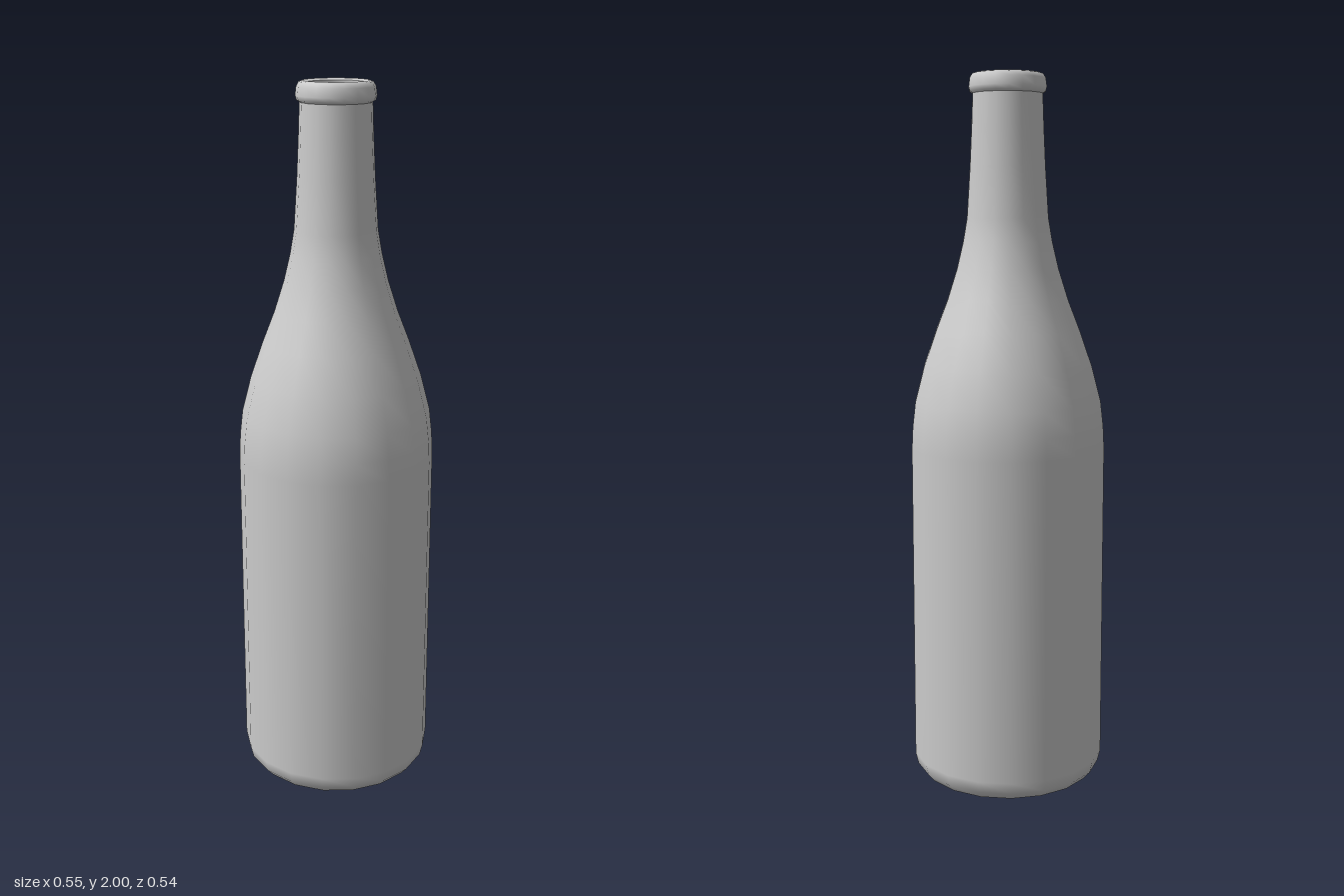
import * as THREE from 'three';

const SIDES = 18;

// Revolve a [radius, height] profile, with a corner of the polygon on +x
function revolve(name, profile, material) {
  const points = profile.map(([r, y]) => new THREE.Vector2(r, y));
  const mesh = new THREE.Mesh(new THREE.LatheGeometry(points, SIDES, Math.PI / 2), material);
  mesh.name = name;
  return mesh;
}

export function createModel() {
  const group = new THREE.Group();
  group.name = 'bottle';
  const material = new THREE.MeshStandardMaterial({ color: 0xcccccc, side: THREE.DoubleSide });

  // Base, straight body, sloping shoulder and slender neck
  group.add(revolve('bottleBody', [
    [0, 0], [0.215, 0], [0.248, 0.01], [0.267, 0.032], [0.275, 0.065],
    [0.275, 0.97], [0.272, 1.03], [0.264, 1.1], [0.238, 1.2], [0.203, 1.3],
    [0.17, 1.385], [0.143, 1.47], [0.125, 1.545], [0.114, 1.61],
    [0.105, 1.75], [0.1, 1.86], [0.097, 1.945],
  ], material));

  // Rounded lip, turning inward to the mouth
  group.add(revolve('lip', [
    [0.097, 1.945], [0.105, 1.95], [0.108, 1.962], [0.105, 1.985],
    [0.098, 1.997], [0.088, 2], [0.077, 1.995],
  ], material));

  // Inside of the mouth
  group.add(revolve('mouthWall', [[0.077, 1.995], [0.077, 1.93], [0.09, 1.86]], material));

  return group;
}
